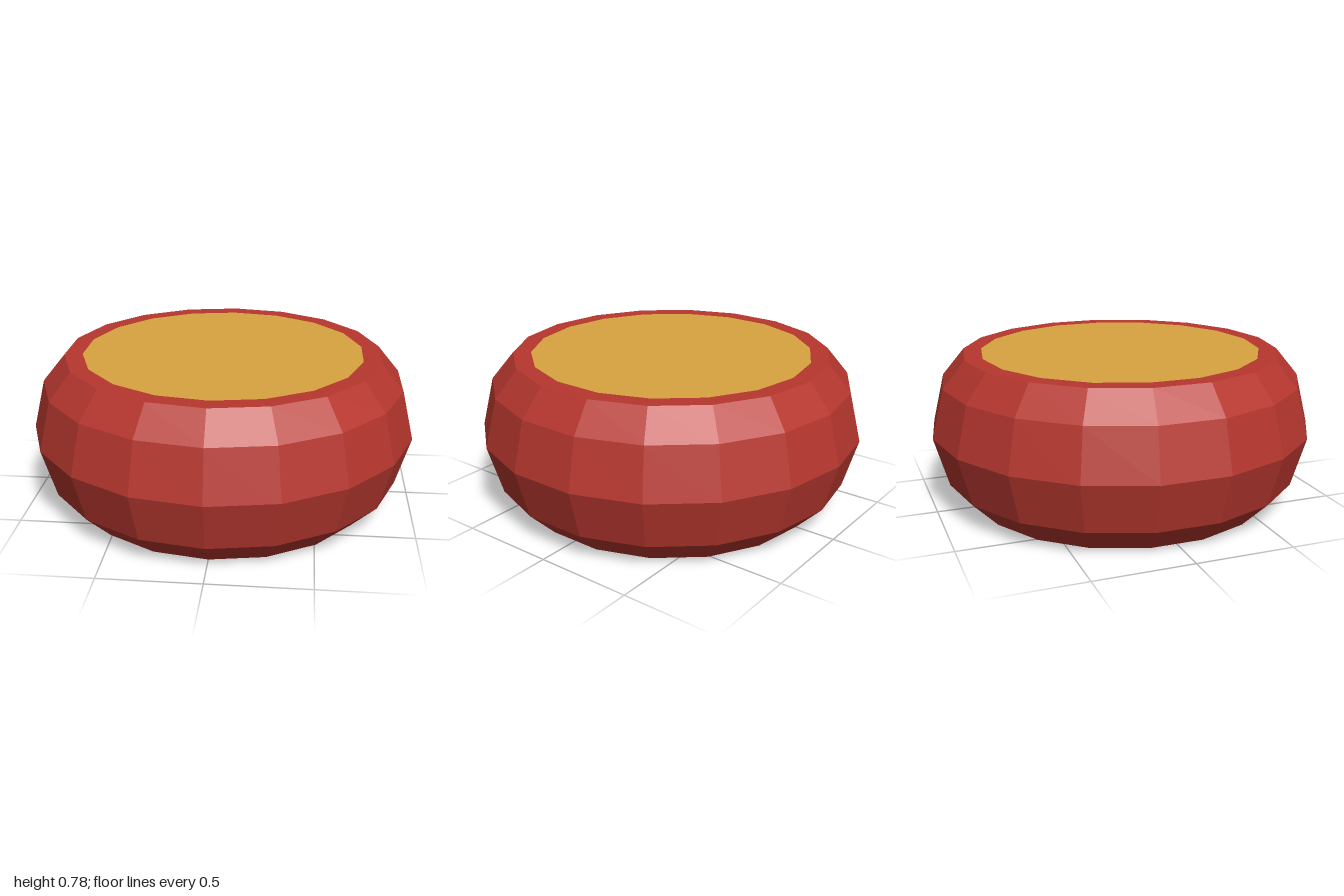
import * as THREE from 'three';

const SIDES = 18;

export function createModel() {
  const model = new THREE.Group();
  model.name = 'roundCushion';

  const red = new THREE.MeshStandardMaterial({ name: 'red', color: 0xb7372f });
  const gold = new THREE.MeshStandardMaterial({ name: 'gold', color: 0xd9a441 });

  const add = (name, geometry, material) => {
    const mesh = new THREE.Mesh(geometry, material);
    mesh.name = name;
    model.add(mesh);
    return mesh;
  };

  // Faceted bulging body, ending in the flat rim around the top panel
  const profile = [
    [0.79, 0], [0.927, 0.138], [1, 0.392], [0.938, 0.645], [0.823, 0.784], [0.73, 0.784],
  ].map(([r, y]) => new THREE.Vector2(r, y));
  const body = new THREE.LatheGeometry(profile, SIDES).toNonIndexed();
  body.computeVertexNormals();
  add('body', body, red);

  // Flat panels share the body's side count and corner alignment
  const disc = (radius) => new THREE.CircleGeometry(radius, SIDES, Math.PI / 2);
  add('topPanel', disc(0.73).rotateX(-Math.PI / 2).translate(0, 0.784, 0), gold);
  add('base', disc(0.79).rotateX(Math.PI / 2), red);

  return model;
}
